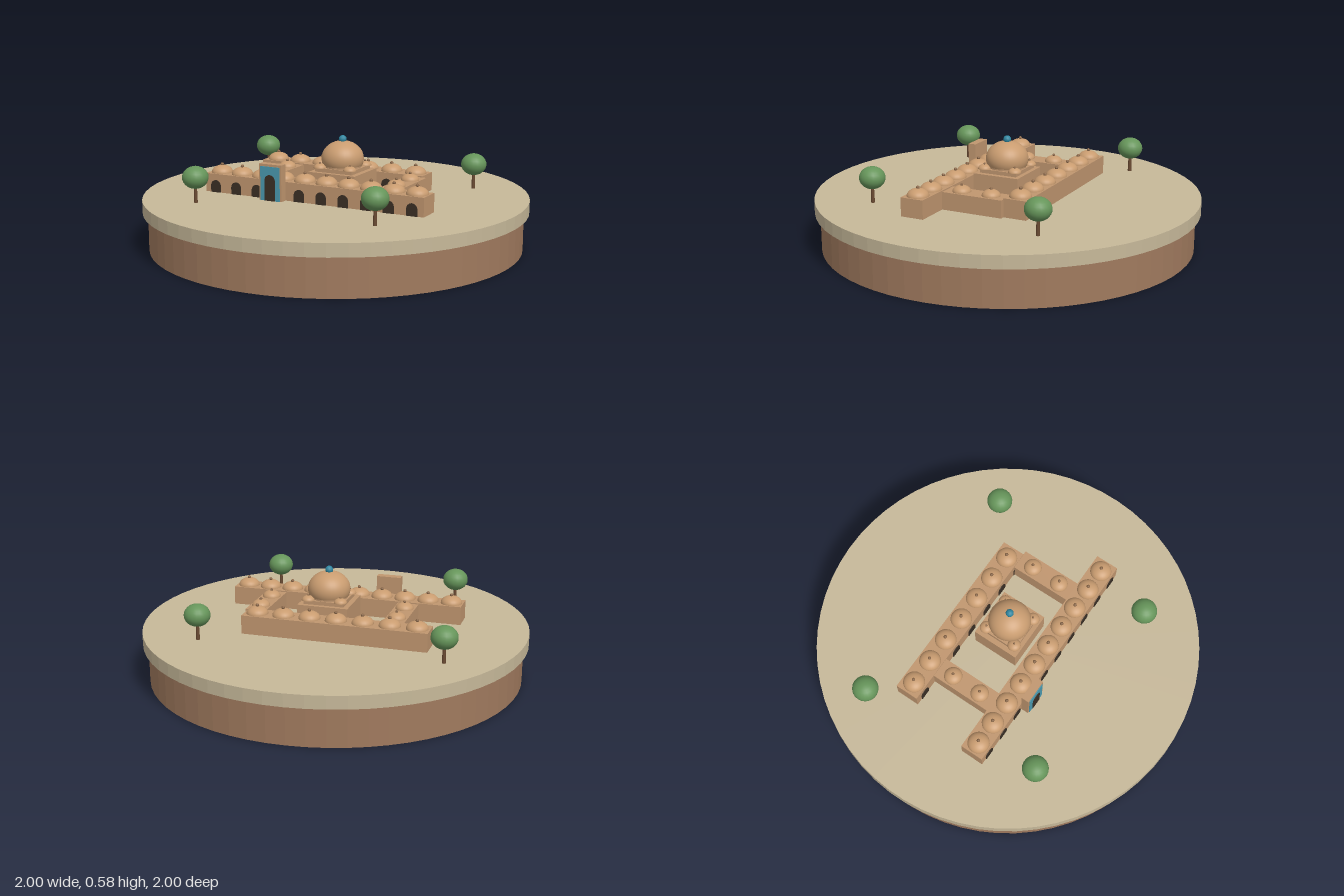
import * as THREE from 'three';

const mat = (name, color, flatShading = false) => {
  const m = new THREE.MeshStandardMaterial({ color, flatShading });
  m.name = name;
  return m;
};

export function createModel() {
  const sand = mat('sand', 0xc6b899, true);
  const earth = mat('earth', 0xa07a5e, true);
  const wall = mat('wall', 0xc0966f);
  const domeMat = mat('dome', 0xc99c70);
  const bronze = mat('bronze', 0x8a6748);
  const dark = mat('opening', 0x3a2f25);
  const tile = mat('tile', 0x4a9ab0);
  const turquoise = mat('turquoise', 0x2f86a0);
  const leaf = mat('leaf', 0x66955a);
  const bark = mat('bark', 0x6a4a32);

  const model = new THREE.Group();
  model.name = 'courtyardComplex';
  const add = (parent, name, geo, material, x = 0, y = 0, z = 0) => {
    const mesh = new THREE.Mesh(geo, material);
    mesh.name = name;
    mesh.position.set(x, y, z);
    parent.add(mesh);
    return mesh;
  };
  const GROUND = 0.267;

  // Round base
  add(model, 'baseDrum', new THREE.CylinderGeometry(0.972, 0.972, 0.2, 64), earth, 0, 0.1, 0);
  add(model, 'groundSlab', new THREE.CylinderGeometry(1, 1, 0.067, 64), sand, 0, 0.2335, 0);

  // Buildings, turned on the base
  const site = new THREE.Group();
  site.name = 'buildings';
  site.position.set(0.035, 0, 0);
  site.rotation.y = -THREE.MathUtils.degToRad(20);
  model.add(site);

  const block = (parent, name, w, d, y0, y1, x, z) =>
    add(parent, name, new THREE.BoxGeometry(w, y1 - y0, d), wall, x, (y0 + y1) / 2, z);

  const smallDome = (parent, r, x, y, z) => {
    const geo = new THREE.SphereGeometry(r, 24, 10, 0, Math.PI * 2, 0, Math.PI / 2);
    geo.scale(1, 0.68, 1);
    add(parent, 'roofDome', geo, domeMat, x, y, z);
    add(parent, 'domeFinial', new THREE.SphereGeometry(r * 0.16, 10, 8), bronze, x, y + r * 0.75, z);
  };

  // Thin arched opening standing on the ground, facing +z
  const arch = (parent, w, h, x, z) => {
    const r = w / 2;
    const s = new THREE.Shape();
    s.moveTo(-r, 0);
    s.lineTo(r, 0);
    s.lineTo(r, h - r);
    s.absarc(0, h - r, r, 0, Math.PI, false);
    s.lineTo(-r, 0);
    const geo = new THREE.ExtrudeGeometry(s, { depth: 0.006, bevelEnabled: false, curveSegments: 10 });
    add(parent, 'archOpening', geo, dark, x, GROUND, z);
  };

  // Long wings with a row of domes and arches
  const longWing = (name, length, x, z, count, step) => {
    const g = new THREE.Group();
    g.name = name;
    g.position.set(x, 0, z);
    site.add(g);
    block(g, 'wingWalls', length, 0.124, GROUND, 0.364, 0, 0);
    for (let i = 0; i < count; i++) {
      const u = (i - (count - 1) / 2) * step;
      smallDome(g, 0.056, u, 0.364, 0);
      arch(g, 0.058, 0.064, u, 0.06);
    }
  };
  longWing('frontWing', 1.25, -0.037, 0.221, 10, 0.125);
  longWing('backWing', 0.966, -0.106, -0.231, 7, 0.139);

  // Side wings closing the courtyard
  for (const [name, x] of [['rightWing', -0.383], ['leftWing', 0.345]]) {
    block(site, name, 0.11, 0.33, GROUND, 0.358, x, -0.005);
    for (const z of [-0.087, 0.077]) smallDome(site, 0.047, x, 0.358, z);
  }

  // Tiled entrance portal
  const portal = new THREE.Group();
  portal.name = 'portal';
  portal.position.set(-0.244, 0, 0.303);
  site.add(portal);
  block(portal, 'portalSlab', 0.13, 0.042, GROUND, 0.455, 0, 0);
  add(portal, 'tilePanel', new THREE.BoxGeometry(0.112, 0.176, 0.006), tile, 0, GROUND + 0.088, 0.022);
  arch(portal, 0.06, 0.134, 0, 0.022);

  // Central hall with stepped roof, corner domes and great dome
  const hall = new THREE.Group();
  hall.name = 'centralHall';
  site.add(hall);
  block(hall, 'hallWalls', 0.267, 0.25, GROUND, 0.392, 0, 0);
  block(hall, 'roofStep', 0.212, 0.205, 0.392, 0.412, 0, 0);
  for (const x of [-0.086, 0.086])
    for (const z of [-0.086, 0.086]) smallDome(hall, 0.034, x, 0.411, z);
  add(hall, 'domeDrum', new THREE.CylinderGeometry(0.098, 0.098, 0.035, 32), wall, 0, 0.4275, 0);
  const great = new THREE.SphereGeometry(0.11, 32, 18, 0, Math.PI * 2, 0, Math.PI * 0.62);
  great.scale(1, 0.84, 1);
  add(hall, 'greatDome', great, domeMat, 0, 0.455, 0);
  add(hall, 'greatFinial', new THREE.SphereGeometry(0.021, 10, 8), turquoise, 0, 0.555, 0);

  // Trees
  for (const [x, z] of [[-0.48, -0.62], [0.705, -0.225], [-0.67, 0.31], [0.277, 0.655]]) {
    const tree = new THREE.Group();
    tree.name = 'tree';
    tree.position.set(x, GROUND, z);
    model.add(tree);
    add(tree, 'trunk', new THREE.CylinderGeometry(0.007, 0.01, 0.1, 8), bark, 0, 0.05, 0);
    const crown = new THREE.SphereGeometry(0.067, 20, 14);
    crown.scale(1, 0.86, 1);
    add(tree, 'crown', crown, leaf, 0, 0.13, 0);
  }
  return model;
}
